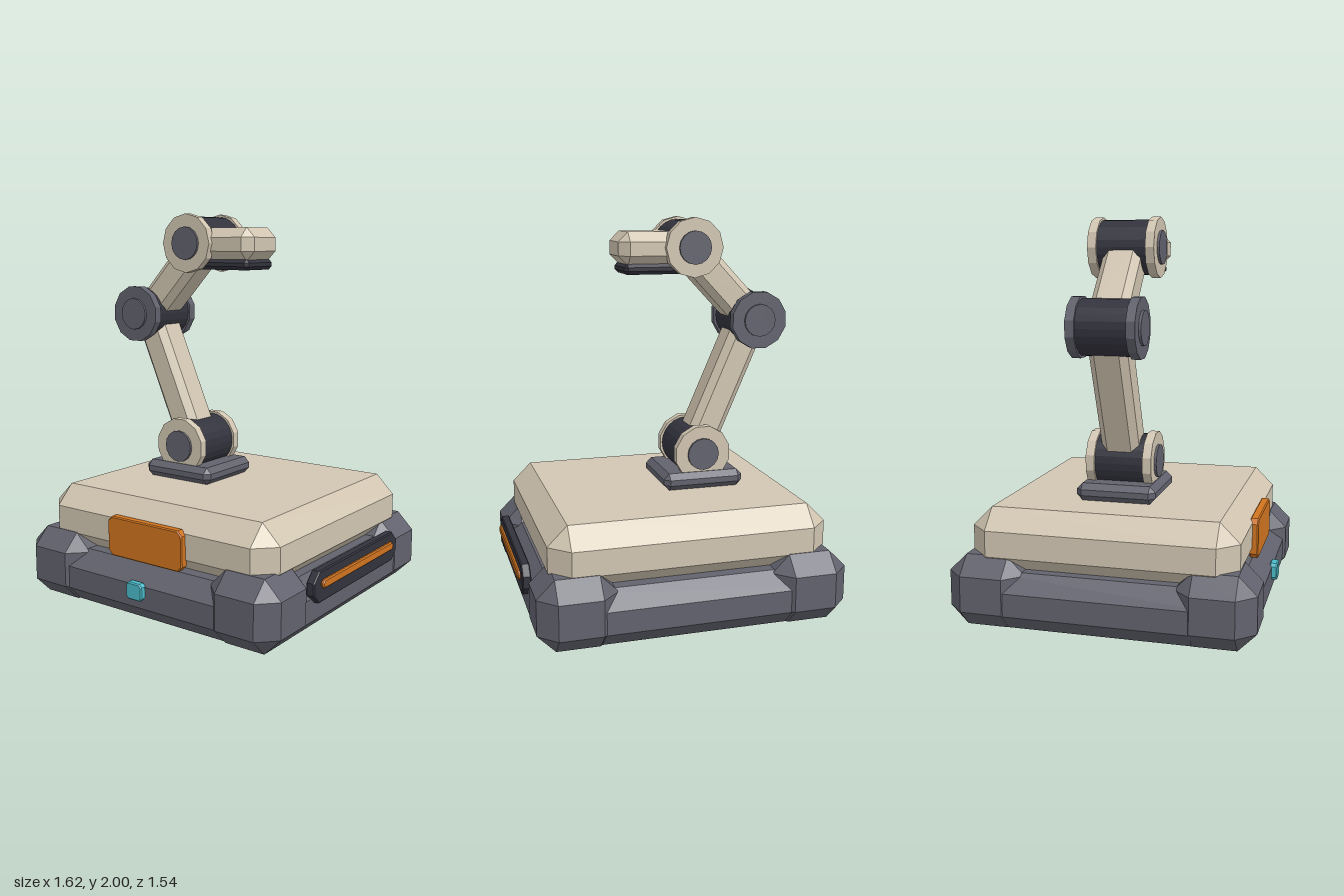
import * as THREE from 'three';
import { ConvexGeometry } from 'three/addons/geometries/ConvexGeometry.js';

const paint = (name, color) => {
  const m = new THREE.MeshStandardMaterial({ color });
  m.name = name;
  return m;
};

// Box with every edge cut at 45 degrees
function chamferBox(w, h, d, c) {
  const points = [];
  for (const sx of [-1, 1]) for (const sy of [-1, 1]) for (const sz of [-1, 1]) {
    const x = w / 2, y = h / 2, z = d / 2;
    points.push(
      new THREE.Vector3(sx * x, sy * (y - c), sz * (z - c)),
      new THREE.Vector3(sx * (x - c), sy * y, sz * (z - c)),
      new THREE.Vector3(sx * (x - c), sy * (y - c), sz * z));
  }
  return new ConvexGeometry(points);
}

// Thin plate with cut corners, back at z = 0 and facing +z
function plate(w, h, depth, cut) {
  const b = 0.006, x = w / 2 - b, y = h / 2 - b;
  const shape = new THREE.Shape([
    [x - cut, -y], [x, cut - y], [x, y - cut], [x - cut, y],
    [cut - x, y], [-x, y - cut], [-x, cut - y], [cut - x, -y],
  ].map(([px, py]) => new THREE.Vector2(px, py)));
  return new THREE.ExtrudeGeometry(shape, {
    depth: depth - 2 * b, bevelEnabled: true, bevelSize: b, bevelThickness: b, bevelSegments: 1,
  }).translate(0, 0, b);
}

// Faceted cylinder lying along z
function drum(radius, length, sides, turn = 0) {
  const g = new THREE.CylinderGeometry(radius, radius, length, sides).rotateX(Math.PI / 2).rotateZ(turn).toNonIndexed();
  g.computeVertexNormals();
  return g;
}

export function createModel() {
  const tan = paint('tan shell', 0xd2c6b2);
  const grey = paint('slate grey', 0x62626e);
  const dark = paint('dark rubber', 0x33333e);
  const orange = paint('orange accent', 0xd0741f);
  const cyan = paint('cyan light', 0x4cbccb);

  const model = new THREE.Group();
  const robot = new THREE.Group();
  robot.name = 'robot';
  robot.position.set(-0.024, 0, -0.01);
  model.add(robot);

  const add = (parent, name, geometry, material, x = 0, y = 0, z = 0) => {
    const mesh = new THREE.Mesh(geometry, material);
    mesh.name = name;
    mesh.position.set(x, y, z);
    parent.add(mesh);
    return mesh;
  };

  // Base: low core, four bulky corners and the top slab
  add(robot, 'baseCore', chamferBox(1.57, 0.285, 1.5, 0.085), grey, 0, 0.1435, 0);
  for (const sx of [-1, 1]) for (const sz of [-1, 1])
    add(robot, 'cornerBlock', chamferBox(0.397, 0.36, 0.394, 0.09), grey, sx * 0.591, 0.18, sz * 0.567);
  add(robot, 'topSlab', chamferBox(1.43, 0.33, 1.34, 0.1), tan, 0, 0.42, 0);

  // Front panel and light
  add(robot, 'frontPanel', plate(0.475, 0.205, 0.045, 0.022), orange, 0.002, 0.4, 0.655);
  add(robot, 'frontLight', plate(0.1, 0.088, 0.04, 0.012), cyan, -0.001, 0.175, 0.738);

  // Slot on the left side
  const slot = new THREE.Group();
  slot.name = 'sideSlot';
  slot.position.set(0.77, 0.257, 0.005);
  slot.rotation.y = Math.PI / 2;
  robot.add(slot);
  add(slot, 'slotFrame', plate(0.855, 0.158, 0.045, 0.045), dark, 0, 0, 0);
  add(slot, 'slotStrip', plate(0.73, 0.044, 0.02, 0.012), orange, 0, 0.012, 0.04);

  // Arm
  const arm = new THREE.Group();
  arm.name = 'arm';
  robot.add(arm);
  add(arm, 'pedestal', chamferBox(0.435, 0.09, 0.41, 0.03), grey, -0.196, 0.63, 0);

  const joints = [
    { name: 'shoulder', x: -0.196, y: 0.77, disc: tan, turn: Math.PI / 12 },
    { name: 'elbow', x: -0.501, y: 1.47, disc: grey, turn: Math.PI / 12 },
    { name: 'wrist', x: -0.143, y: 1.85, disc: tan, turn: 0 },
  ];
  for (const j of joints) {
    const joint = new THREE.Group();
    joint.name = j.name;
    joint.position.set(j.x, j.y, 0);
    arm.add(joint);
    add(joint, 'drum', drum(0.138, 0.27, 24), dark);
    for (const s of [-1, 1]) {
      add(joint, 'disc', drum(0.152, 0.045, 12, j.turn), j.disc, 0, 0, s * 0.148);
      add(joint, 'cap', drum(0.085, 0.05, 16), grey, 0, 0, s * 0.158);
    }
  }

  // Beams running from joint to joint
  ['lowerBeam', 'upperBeam'].forEach((name, i) => {
    const a = joints[i], b = joints[i + 1];
    const dx = b.x - a.x, dy = b.y - a.y;
    const beam = add(arm, name, chamferBox(Math.hypot(dx, dy), 0.178, 0.195, 0.035), tan,
      (a.x + b.x) / 2, (a.y + b.y) / 2, 0);
    beam.rotation.z = Math.atan2(dy, dx);
  });

  // Head with the gripping pad underneath
  add(arm, 'head', chamferBox(0.34, 0.17, 0.29, 0.05), tan, 0.069, 1.845, 0);
  add(arm, 'grippingPad', chamferBox(0.31, 0.055, 0.24, 0.018), dark, 0.056, 1.7425, 0);

  return model;
}
